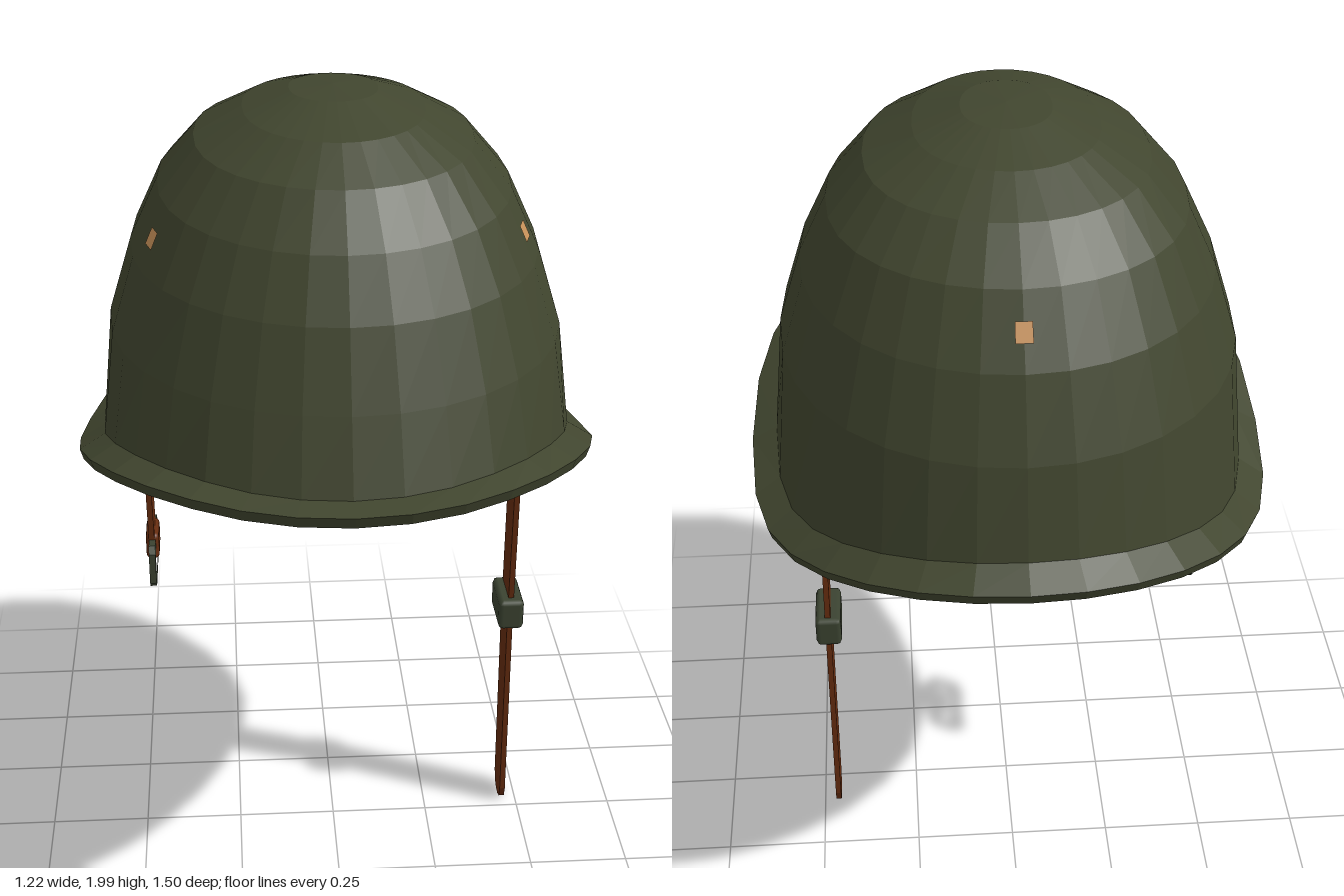
import * as THREE from 'three';
import { RoundedBoxGeometry } from 'three/addons/geometries/RoundedBoxGeometry.js';

const SEG = 32;

// Dome profile from crown down: half width, front reach, back reach, front y, back y
const DOME = [
  [0, 0, 0, 2.0, 2.0],
  [0.10, 0.13, 0.12, 1.993, 1.993],
  [0.205, 0.29, 0.25, 1.948, 1.96],
  [0.315, 0.40, 0.37, 1.88, 1.905],
  [0.40, 0.49, 0.48, 1.77, 1.815],
  [0.465, 0.56, 0.57, 1.64, 1.67],
  [0.52, 0.625, 0.64, 1.47, 1.49],
];

// Height of the brim's lower lip along z
const LIP = [[-0.75, 1.215], [-0.65, 1.18], [-0.5, 1.13], [-0.35, 1.092], [-0.2, 1.085], [-0.1, 1.095],
  [0, 1.118], [0.1, 1.15], [0.3, 1.21], [0.5, 1.257], [0.65, 1.272], [0.75, 1.272]];
function lipY(z) {
  if (z <= LIP[0][0]) return LIP[0][1];
  for (let i = 1; i < LIP.length; i++) {
    const [z0, y0] = LIP[i - 1], [z1, y1] = LIP[i];
    if (z <= z1) return y0 + (y1 - y0) * (z - z0) / (z1 - z0);
  }
  return LIP[LIP.length - 1][1];
}

// Slightly squared oval; the angle starts at the front and turns towards +x
function oval(a, rx, rf, rb) {
  const c = Math.cos(a);
  return [rx * Math.sin(a), Math.sign(c) * Math.abs(c) ** 0.87 * (c > 0 ? rf : rb)];
}
function domePoint(row, a, inset = 0) {
  const i = Math.min(Math.floor(row), DOME.length - 2), t = row - i;
  const [rx, rf, rb, yf, yb] = DOME[i].map((v, k) => v + (DOME[i + 1][k] - v) * t);
  const [x, z] = oval(a, Math.max(rx - inset, 0), Math.max(rf - inset, 0), Math.max(rb - inset, 0));
  return new THREE.Vector3(x, yb + (yf - yb) * (Math.cos(a) + 1) / 2 - inset, z);
}
// Point on the brim: sideways reach, lengthwise reach, height above the lip
function brimPoint(a, rx, rz, lift) {
  const [x, z] = oval(a, rx, rz, rz);
  const side = 0.03 * (1 - Math.max(0, Math.cos(a)));
  return new THREE.Vector3(x, lipY(oval(a, 0.61, 0.75, 0.75)[1]) + (lift > 0.03 ? lift + side : lift), z);
}

const ring = (fn) => Array.from({ length: SEG + 1 }, (_, j) => fn(j / SEG * Math.PI * 2));

// Faceted skin through a list of equal-length point rows
function loft(rows) {
  const pts = rows.flat(), n = rows[0].length, index = [];
  for (let i = 0; i < rows.length - 1; i++) {
    for (let j = 0; j < n - 1; j++) {
      const a = i * n + j, b = a + 1, c = a + n, d = c + 1;
      index.push(a, c, b, b, c, d);
    }
  }
  const g = new THREE.BufferGeometry().setFromPoints(pts);
  g.setIndex(index);
  const flat = g.toNonIndexed();
  flat.computeVertexNormals();
  return flat;
}

// Outline drawn in (backward, up) and extruded sideways, centred on its thickness
function sideExtrude(shape, depth) {
  const g = new THREE.ExtrudeGeometry(shape, { depth, bevelEnabled: false, curveSegments: 5 });
  return g.translate(0, 0, -depth / 2).rotateY(Math.PI / 2);
}
const polygon = (pts) => pts.map(([x, y]) => new THREE.Vector2(x, y));
// Rectangle with clipped corners
function clipped(w, h, c) {
  const q = [[w - c, h], [w, h - c]];
  return polygon([...q, [w, c - h], [w - c, -h], [c - w, -h], [-w, c - h], [-w, h - c], [c - w, h]]);
}

export function createModel() {
  const group = new THREE.Group();
  const material = (name, color, side = THREE.FrontSide) => {
    const m = new THREE.MeshStandardMaterial({ color, side });
    m.name = name;
    return m;
  };
  const green = material('olive paint', 0x41462f);
  const tan = material('tan lining', 0xc8925a);
  const leather = material('brown leather', 0x652c0f);
  const metal = material('green metal', 0x3b4331);
  const add = (name, geometry, mat, x = 0, y = 0, z = 0) => {
    const mesh = new THREE.Mesh(geometry, mat);
    mesh.name = name;
    mesh.position.set(x, y, z);
    group.add(mesh);
    return mesh;
  };

  // Steel shell: dome, flared brim, lip and underside in one skin
  const domeRows = DOME.map((_, i) => ring((a) => domePoint(i, a)));
  add('shell', loft([
    ...domeRows,
    ring((a) => brimPoint(a, 0.55, 0.685, 0.035)),
    ring((a) => brimPoint(a, 0.61, 0.75, 0.028)),
    ring((a) => brimPoint(a, 0.602, 0.738, 0)),
    ring((a) => brimPoint(a, 0.54, 0.672, 0.031)),
    ring((a) => brimPoint(a, 0.532, 0.664, 0.055)),
  ]), green);

  // Inner lining, facing inwards
  add('lining', loft([
    ring((a) => brimPoint(a, 0.532, 0.664, 0.055)),
    ...DOME.map((_, i) => ring((a) => domePoint(i, a, i ? 0.015 : 0.014))).reverse(),
  ]), tan);

  // Three small rivet slots on the dome
  [['leftSlot', 1.214], ['rightSlot', -1.214], ['backSlot', Math.PI]].forEach(([name, angle]) => {
    const corner = (dv, da) => {
      const p = domePoint(4.5 + dv, angle + da);
      return p.add(new THREE.Vector3(p.x, 0.25, p.z).normalize().multiplyScalar(0.006));
    };
    add(name, loft([-0.13, 0.13].map((dv) => [-0.042, 0.042].map((da) => corner(dv, da)))), tan);
  });

  // Long strap with a rounded tip
  const longOutline = new THREE.Shape(polygon([
    [-0.045, 1.34], [-0.04, 1.1], [0.005, 0.6], [0.018, 0.05], [0.03, 0.018], [0.055, 0.008],
    [0.08, 0.008], [0.105, 0.02], [0.114, 0.05], [0.11, 0.55], [0.07, 1.1], [0.065, 1.34],
  ]));
  add('longStrap', sideExtrude(longOutline, 0.014), leather, 0.463).rotation.z = 0.008;
  add('strapSlider', new RoundedBoxGeometry(0.064, 0.082, 0.14, 1, 0.012), metal, 0.457, 0.62, -0.046);

  // Short strap
  const shortOutline = new THREE.Shape(polygon([
    [-0.045, 1.34], [-0.02, 0.83], [0.082, 0.83], [0.065, 1.34],
  ]));
  add('shortStrap', sideExtrude(shortOutline, 0.014), leather, -0.441).rotation.z = 0.012;
  add('strapFold', new RoundedBoxGeometry(0.032, 0.07, 0.1, 2, 0.012), leather, -0.45, 0.85, -0.03);

  // Open metal frames: the buckle and the two hanging rings
  const frame = new THREE.Shape(clipped(0.1, 0.056, 0.016));
  frame.holes.push(new THREE.Path(clipped(0.072, 0.03, 0.01)));
  const frameGeometry = sideExtrude(frame, 0.016);
  add('buckle', frameGeometry, metal, -0.45, 0.816, -0.03);
  [['leftRing', 1], ['rightRing', -1]].forEach(([name, s]) => {
    add(name, frameGeometry, metal, s * 0.456, 1.31, -0.01);
  });

  return group;
}
